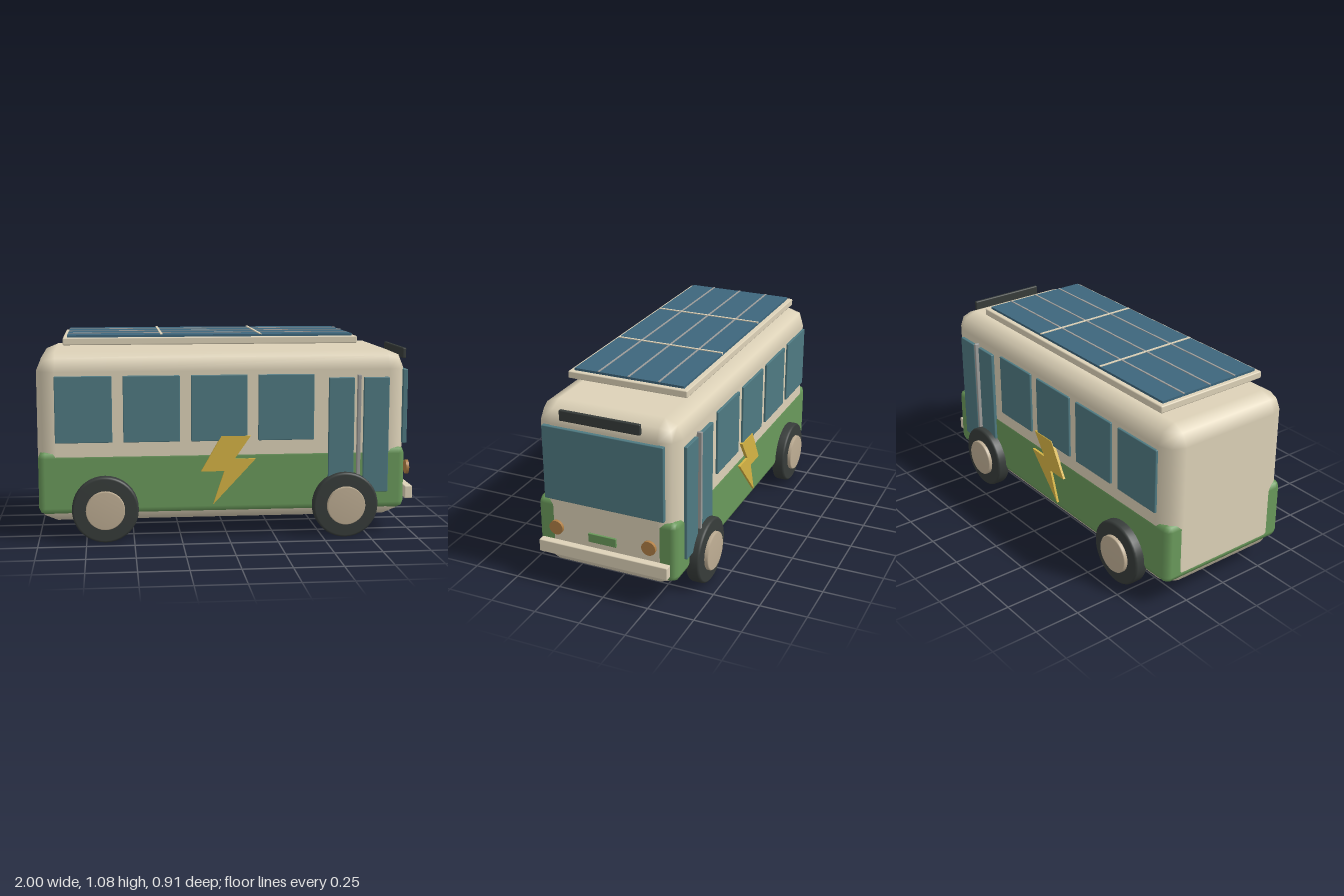
import * as THREE from 'three';
import { RoundedBoxGeometry } from 'three/addons/geometries/RoundedBoxGeometry.js';

const material = (color) => new THREE.MeshStandardMaterial({ color });
const CREAM = material(0xddd2b8), GREEN = material(0x6a9a5b), GLASS = material(0x4f7a82);
const DARK = material(0x373c3a), HUB = material(0xbfae94), YELLOW = material(0xd6b444);
const CELL = material(0x3d667c), GREY = material(0x9c9c9a), AMBER = material(0xb07f45);

export function createModel() {
  const bus = new THREE.Group();
  bus.name = 'bus';

  const add = (name, geometry, mat) => {
    const mesh = new THREE.Mesh(geometry, mat);
    mesh.name = name;
    bus.add(mesh);
    return mesh;
  };

  // Box given by its limits on each axis, with rounded edges of radius r
  const box = (name, mat, [x0, x1], [y0, y1], [z0, z1], r = 0.004, segments = 1) => {
    const geometry = r
      ? new RoundedBoxGeometry(x1 - x0, y1 - y0, z1 - z0, segments, r)
      : new THREE.BoxGeometry(x1 - x0, y1 - y0, z1 - z0);
    geometry.translate((x0 + x1) / 2, (y0 + y1) / 2, (z0 + z1) / 2);
    return add(name, geometry, mat);
  };

  // Body shell, and the lower band that shows through at its sides and corners
  box('body', CREAM, [-1, 0.952], [0.095, 0.99], [-0.382, 0.382], 0.097);
  box('lowerBand', GREEN, [-0.996, 0.948], [0.142, 0.476], [-0.385, 0.385], 0.035);

  // Lightning bolt outline
  const bolt = new THREE.Shape([
    [-0.04, 0.55], [-0.147, 0.364], [-0.024, 0.364], [-0.083, 0.187],
    [0.142, 0.428], [0.03, 0.428], [0.115, 0.55],
  ].map(([x, y]) => new THREE.Vector2(x, y)));

  // Tyre cross-section (radius, offset across the width)
  const tyreProfile = [
    [0, -0.037], [0.162, -0.037], [0.17, -0.033], [0.174, -0.025],
    [0.174, 0.025], [0.17, 0.033], [0.162, 0.037], [0, 0.037],
  ].map(([r, h]) => new THREE.Vector2(r, h));
  const hubProfile = [
    [0, -0.03], [0.102, -0.03], [0.102, 0.024], [0.097, 0.03], [0, 0.03],
  ].map(([r, h]) => new THREE.Vector2(r, h));

  for (const side of [1, -1]) {
    const across = (a, b) => (side > 0 ? [a, b] : [-b, -a]);

    // Side windows
    for (const x of [-0.757, -0.404, -0.05, 0.304]) {
      box('sideWindow', GLASS, [x - 0.148, x + 0.148], [0.524, 0.872], across(0.372, 0.394));
    }

    // Double door and its centre bar
    for (const x of [0.598, 0.785]) {
      box('doorPane', GLASS, [x - 0.068, x + 0.068], [0.237, 0.852], across(0.372, 0.4));
    }
    box('doorBar', GREY, [0.682, 0.7], [0.333, 0.866], across(0.375, 0.408), 0.003);

    // Bolt emblem
    const emblem = add('boltEmblem',
      new THREE.ExtrudeGeometry(bolt, { depth: 0.02, bevelEnabled: false }), YELLOW);
    emblem.position.z = side > 0 ? 0.378 : -0.398;

    // Wheels
    for (const x of [-0.65, 0.62]) {
      const tyre = add('tyre', new THREE.LatheGeometry(tyreProfile, 40), DARK);
      tyre.rotation.x = side * Math.PI / 2;
      tyre.position.set(x, 0.175, side * 0.399);
      const hub = add('hubcap', new THREE.LatheGeometry(hubProfile, 32), HUB);
      hub.rotation.x = side * Math.PI / 2;
      hub.position.set(x, 0.175, side * 0.427);
    }

    // Headlights
    const light = add('headlight', new THREE.CylinderGeometry(0.038, 0.038, 0.016, 24), AMBER);
    light.rotation.z = Math.PI / 2;
    light.position.set(0.989, 0.343, side * 0.256);
  }

  // Driving end: windscreen, sign, plate and bumper
  box('windscreen', GLASS, [0.945, 0.97], [0.486, 0.885], [-0.327, 0.327]);
  box('signBoard', DARK, [0.966, 0.986], [0.933, 0.99], [-0.217, 0.217], 0.006);
  box('plate', GREEN, [0.979, 0.992], [0.302, 0.35], [-0.077, 0.077], 0.003);
  box('bumper', CREAM, [0.958, 1], [0.188, 0.256], [-0.357, 0.357], 0.005);

  // Roof rack on posts
  for (const x of [-0.631, 0.456]) {
    const post = add('rackPost', new THREE.CylinderGeometry(0.019, 0.019, 0.07, 16), GREY);
    post.position.set(x, 1.0, -0.135);
  }
  box('rackFrame', CREAM, [-0.858, 0.689], [1.027, 1.065], [-0.326, 0.326], 0.006);

  // Solar panel with dividing strips
  box('solarPanel', CELL, [-0.835, 0.665], [1.06, 1.077], [-0.3, 0.3], 0);
  for (const x of [-0.345, 0.175]) {
    box('crossStrip', CREAM, [x - 0.006, x + 0.006], [1.07, 1.081], [-0.3, 0.3], 0);
  }
  for (const z of [-0.165, 0, 0.165]) {
    box('longStrip', GREY, [-0.835, 0.665], [1.07, 1.08], [z - 0.005, z + 0.005], 0);
  }

  return bus;
}
